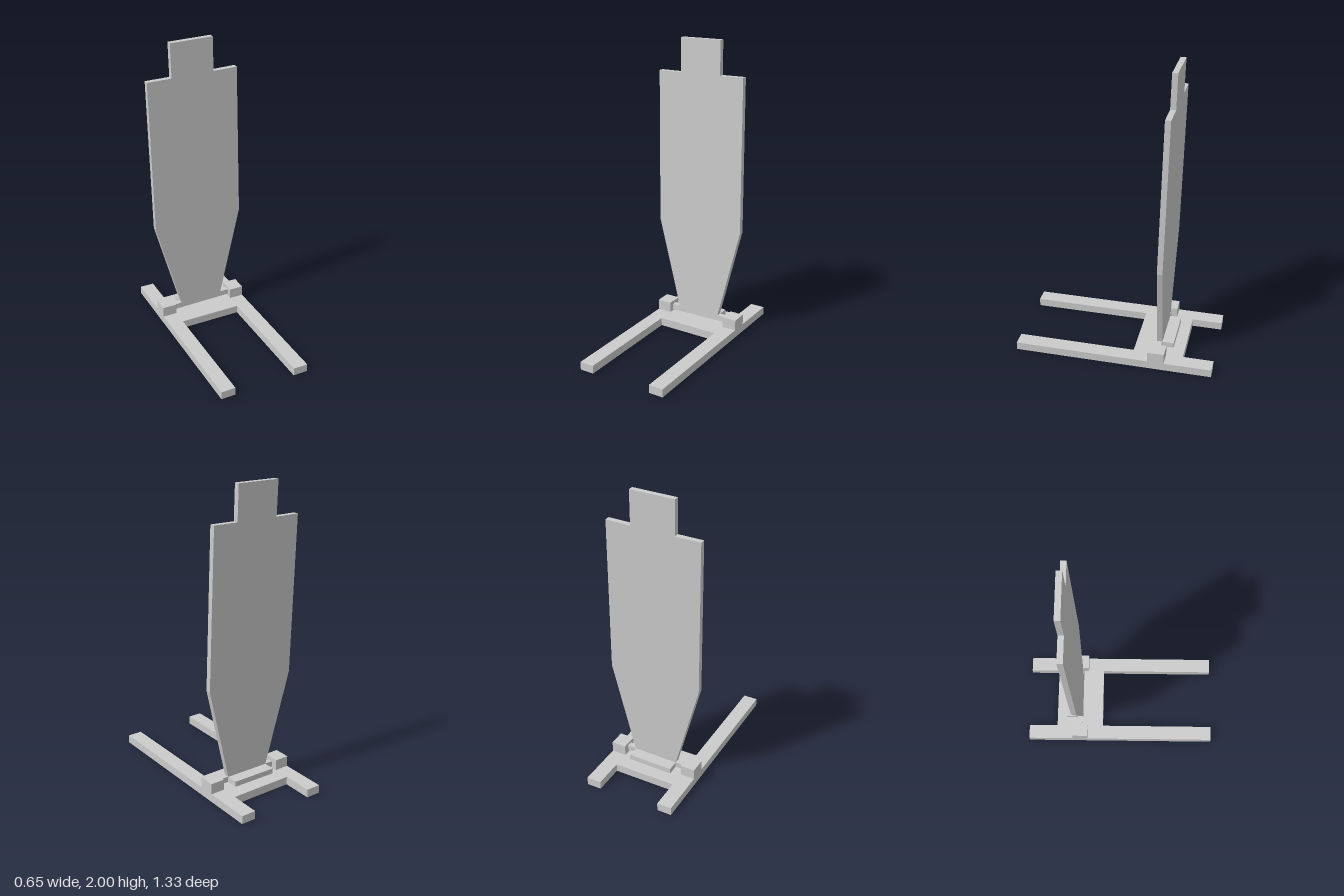
import * as THREE from 'three';

const material = new THREE.MeshStandardMaterial({ color: 0xcccccc, flatShading: true });

function add(parent, name, geometry, x = 0, y = 0, z = 0) {
  const mesh = new THREE.Mesh(geometry, material);
  mesh.name = name;
  mesh.position.set(x, y, z);
  parent.add(mesh);
  return mesh;
}

function slab(points, depth) {
  const shape = new THREE.Shape(points.map(([x, y]) => new THREE.Vector2(x, y)));
  return new THREE.ExtrudeGeometry(shape, { depth, bevelEnabled: false });
}

export function createModel() {
  const group = new THREE.Group();
  const left = 0.325, right = -0.298; // outer edges of the rails
  const innerLeft = 0.226, innerRight = -0.2;
  const baseHeight = 0.055;

  // H-shaped base, drawn in plan (x, -z) and laid flat
  const base = slab([
    [right, -0.665], [innerRight, -0.665], [innerRight, 0.128], [innerLeft, 0.128],
    [innerLeft, -0.665], [left, -0.665], [left, 0.667], [innerLeft, 0.667],
    [innerLeft, 0.463], [innerRight, 0.463], [innerRight, 0.667], [right, 0.667],
  ], baseHeight);
  base.rotateX(-Math.PI / 2);
  add(group, 'base', base);

  // Blocks on the rails that hold the board's foot
  for (const [name, a, b] of [['rightBlock', right, innerRight], ['leftBlock', innerLeft, left]]) {
    add(group, name, new THREE.BoxGeometry(b - a, 0.072, 0.11), (a + b) / 2, baseHeight + 0.036, -0.295);
  }

  // Target board with head, shoulders, taper and foot tabs, leaning back
  const board = slab([
    [-0.2, 0.066], [0.226, 0.073], [0.226, 0.111], [0.165, 0.11],
    [0.317, 0.743], [0.3, 1.778], [0.133, 1.774], [0.13, 2.0],
    [-0.164, 1.995], [-0.16, 1.769], [-0.327, 1.767], [-0.312, 0.73],
    [-0.142, 0.106], [-0.2, 0.104],
  ], 0.036);
  const lean = new THREE.Matrix4().makeShear(0, 0, 0, -0.0229, 0, 0);
  board.applyMatrix4(lean);
  board.computeVertexNormals();
  add(group, 'targetBoard', board, 0, 0, -0.309);

  // Backing bar fixed behind the foot of the board
  const bar = add(group, 'backingBar', new THREE.BoxGeometry(0.306, 0.036, 0.08), 0.012, 0.088, -0.349);
  bar.rotation.z = 0.014;

  return group;
}
